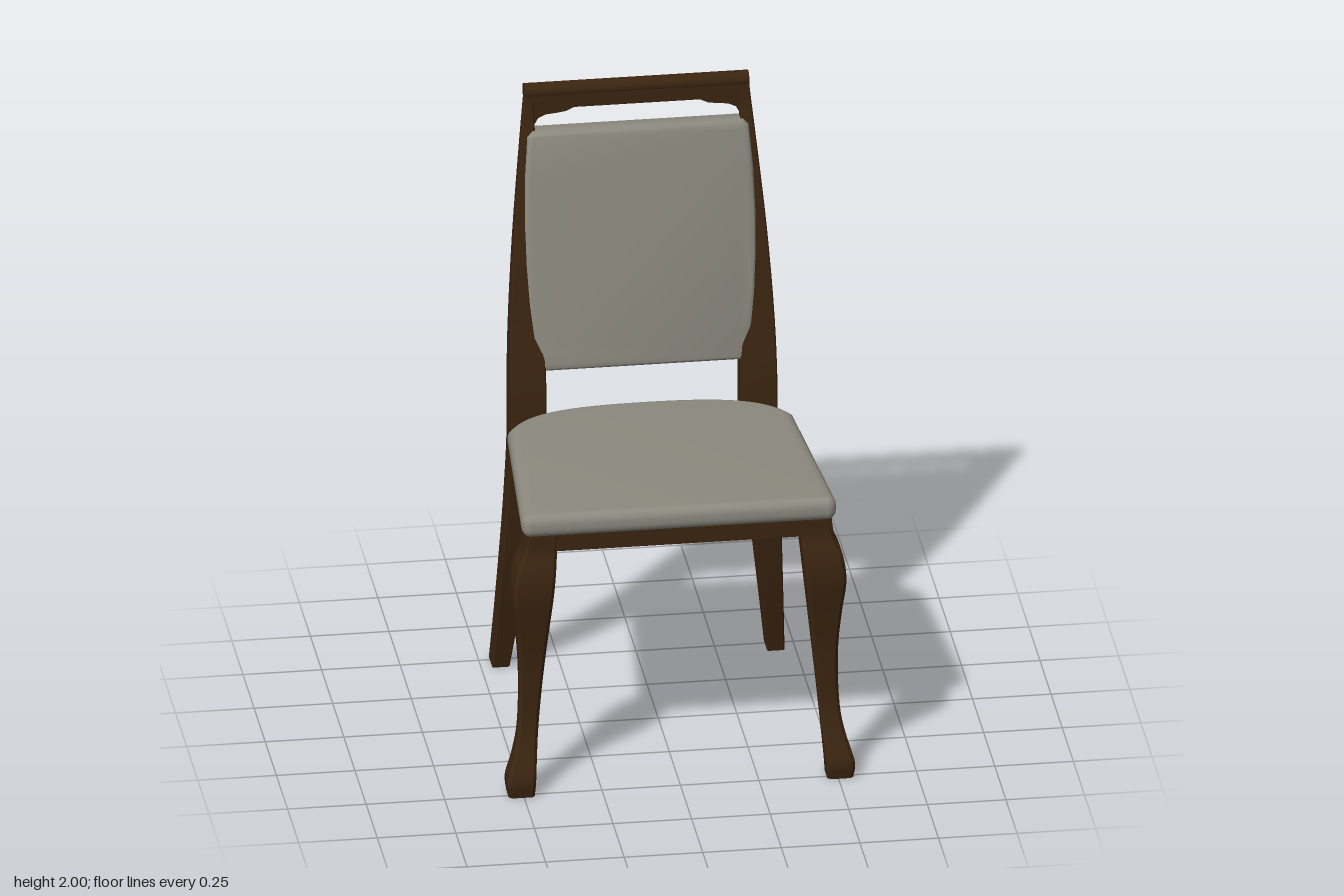
import * as THREE from 'three';
import { toCreasedNormals } from 'three/addons/utils/BufferGeometryUtils.js';

const wood = new THREE.MeshStandardMaterial({ color: 0x3b2510 });
wood.name = 'dark wood';
const fabric = new THREE.MeshStandardMaterial({ color: 0x8c8a7f });
fabric.name = 'grey fabric';

function add(group, name, geometry, material) {
  const mesh = new THREE.Mesh(geometry, material);
  mesh.name = name;
  group.add(mesh);
  return mesh;
}

// Loft of chamfered rectangles; each row is [y, xMin, xMax, zMin, zMax]
function loft(rows, side, chamfer, steps) {
  const low = new THREE.CatmullRomCurve3(rows.map(([y, x0, , z0]) => new THREE.Vector3(x0, y, z0)));
  const high = new THREE.CatmullRomCurve3(rows.map(([y, , x1, , z1]) => new THREE.Vector3(x1, y, z1)));
  const rings = [];
  for (let i = 0; i <= steps; i++) {
    const p = low.getPoint(i / steps), q = high.getPoint(i / steps), c = chamfer;
    const x0 = side > 0 ? p.x : -q.x, x1 = side > 0 ? q.x : -p.x;
    rings.push([
      [x1 - c, q.z], [x1, q.z - c], [x1, p.z + c], [x1 - c, p.z],
      [x0 + c, p.z], [x0, p.z + c], [x0, q.z - c], [x0 + c, q.z],
    ].map(([x, z]) => [x, p.y, z]));
  }
  const pos = [], index = [], n = 8;
  // Separate strip per side keeps the long edges sharp
  for (let k = 0; k < n; k++) {
    const start = pos.length / 3;
    rings.forEach((r) => pos.push(...r[k], ...r[(k + 1) % n]));
    for (let i = 0; i < steps; i++) {
      const a = start + i * 2;
      index.push(a, a + 1, a + 3, a, a + 3, a + 2);
    }
  }
  // End caps
  [rings[0], rings[steps]].forEach((ring, top) => {
    const start = pos.length / 3;
    ring.forEach((v) => pos.push(...v));
    for (let k = 1; k < n - 1; k++) {
      if (top) index.push(start, start + k, start + k + 1);
      else index.push(start, start + k + 1, start + k);
    }
  });
  const g = new THREE.BufferGeometry();
  g.setAttribute('position', new THREE.Float32BufferAttribute(pos, 3));
  g.setIndex(index);
  g.computeVertexNormals();
  return g;
}

// Symmetric outline from right-hand points, bottom to top
function mirrored(points) {
  const left = points.map(([x, y]) => [-x, y]).reverse();
  return new THREE.Shape([...points, ...left].map(([x, y]) => new THREE.Vector2(x, y)));
}

// Cushion with rounded rim, filling z = 0..thickness before placement
function cushion(shape, thickness, bevel) {
  const g = new THREE.ExtrudeGeometry(shape, {
    depth: thickness - 2 * bevel, bevelThickness: bevel, bevelSize: bevel,
    bevelOffset: -bevel, bevelSegments: 5, curveSegments: 14,
  });
  g.translate(0, 0, bevel);
  return g;
}

export function createModel() {
  const chair = new THREE.Group();
  chair.name = 'diningChair';

  const frontLeg = [
    [0, 0.465, 0.548, 0.447, 0.523],
    [0.05, 0.462, 0.553, 0.442, 0.53],
    [0.12, 0.456, 0.533, 0.436, 0.505],
    [0.2, 0.449, 0.515, 0.428, 0.48],
    [0.32, 0.438, 0.507, 0.418, 0.469],
    [0.45, 0.425, 0.508, 0.407, 0.472],
    [0.57, 0.413, 0.518, 0.397, 0.488],
    [0.68, 0.402, 0.529, 0.387, 0.505],
    [0.76, 0.394, 0.519, 0.38, 0.498],
    [0.82, 0.388, 0.495, 0.375, 0.478],
    [0.88, 0.382, 0.486, 0.37, 0.475],
  ];
  const backPost = [
    [0, 0.41, 0.465, -0.525, -0.44],
    [0.2, 0.385, 0.455, -0.48, -0.395],
    [0.4, 0.36, 0.445, -0.445, -0.355],
    [0.6, 0.335, 0.435, -0.42, -0.327],
    [0.83, 0.312, 0.425, -0.412, -0.312],
    [1.0, 0.31, 0.425, -0.412, -0.318],
    [1.2, 0.31, 0.421, -0.418, -0.35],
    [1.5, 0.315, 0.402, -0.452, -0.395],
    [1.8, 0.325, 0.374, -0.493, -0.448],
    [1.9, 0.328, 0.364, -0.505, -0.468],
    [1.98, 0.33, 0.356, -0.515, -0.478],
  ];
  for (const [side, label] of [[1, 'left'], [-1, 'right']]) {
    add(chair, label + 'FrontLeg', loft(frontLeg, side, 0.01, 40), wood);
    add(chair, label + 'BackPost', loft(backPost, side, 0.004, 40), wood);
  }

  // Seat frame, drawn in plan with shape y = -z
  const frame = new THREE.ExtrudeGeometry(
    mirrored([[0.486, -0.472], [0.42, 0.2], [0.42, 0.39]]), { depth: 0.065, bevelEnabled: false });
  frame.rotateX(-Math.PI / 2).translate(0, 0.828, 0);
  add(chair, 'seatFrame', frame, wood);

  // Seat cushion, square in front and bowed at the back
  const plan = new THREE.Shape();
  plan.moveTo(-0.47, -0.492);
  plan.lineTo(0.47, -0.492);
  plan.quadraticCurveTo(0.502, -0.492, 0.5, -0.45);
  plan.lineTo(0.455, 0.17);
  plan.bezierCurveTo(0.39, 0.29, 0.27, 0.328, 0, 0.328);
  plan.bezierCurveTo(-0.27, 0.328, -0.39, 0.29, -0.455, 0.17);
  plan.lineTo(-0.5, -0.45);
  plan.quadraticCurveTo(-0.502, -0.492, -0.47, -0.492);
  const seat = cushion(plan, 0.077, 0.03);
  seat.rotateX(-Math.PI / 2).translate(0, 0.882, 0);
  add(chair, 'seatCushion', toCreasedNormals(seat, 0.6), fabric);

  // Back cushion, leaned by shearing; its rear face bows outward
  const pad = cushion(mirrored([
    [0.31, 1.07], [0.328, 1.085], [0.33, 1.125], [0.352, 1.18], [0.364, 1.3], [0.37, 1.42],
    [0.37, 1.55], [0.364, 1.7], [0.352, 1.835], [0.335, 1.852],
  ]), 0.074, 0.018);
  const p = pad.attributes.position;
  for (let i = 0; i < p.count; i++) {
    const lean = -0.33 - 0.14 * (p.getY(i) - 1.08);
    p.setZ(i, lean - 0.074 + p.getZ(i));
  }
  add(chair, 'backCushion', toCreasedNormals(pad, 0.6), fabric);

  // Crest rail with shaped corner brackets and a rolled top
  const rail = new THREE.ExtrudeGeometry(mirrored([
    [0.2, 1.92], [0.225, 1.908], [0.25, 1.904], [0.29, 1.9], [0.315, 1.888], [0.33, 1.86],
    [0.358, 1.86], [0.356, 1.98],
  ]), { depth: 0.032, bevelEnabled: false });
  rail.translate(0, 0, -0.507);
  add(chair, 'crestRail', rail, wood);
  const roll = new THREE.CylinderGeometry(0.026, 0.026, 0.715, 20);
  roll.rotateZ(Math.PI / 2).translate(0, 1.974, -0.499);
  add(chair, 'crestRoll', roll, wood);

  return chair;
}
